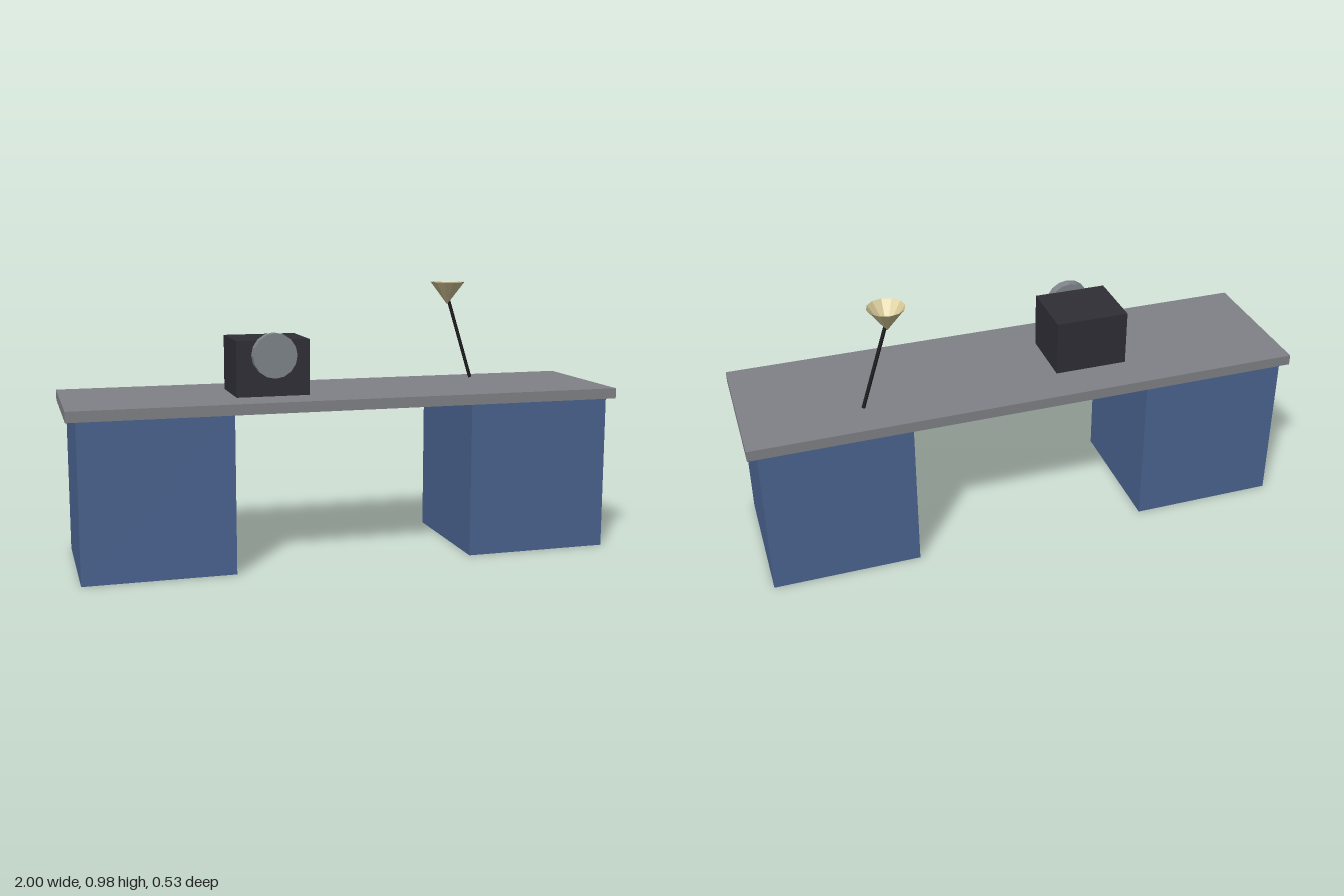
import * as THREE from 'three';

const mat = (name, color, extra = {}) => {
  const m = new THREE.MeshStandardMaterial({ color, flatShading: true, ...extra });
  m.name = name;
  return m;
};

export function createModel() {
  const blue = mat('cabinetBlue', 0x4a6491);
  const grey = mat('worktopGrey', 0x808287);
  const silver = mat('dialGrey', 0x80868c);
  const charcoal = mat('boxCharcoal', 0x2f2e36);
  const black = mat('poleBlack', 0x1c1a1e);
  const cream = mat('shadeCream', 0xd6c998, { side: THREE.DoubleSide });

  const desk = new THREE.Group();
  desk.name = 'desk';
  const add = (name, geometry, material, x, y, z) => {
    const mesh = new THREE.Mesh(geometry, material);
    mesh.name = name;
    mesh.position.set(x, y, z);
    desk.add(mesh);
    return mesh;
  };

  // Worktop on two cabinets
  add('worktop', new THREE.BoxGeometry(2, 0.038, 0.533), grey, 0, 0.581, 0);
  for (const [side, s] of [['left', 1], ['right', -1]]) {
    add(side + 'Cabinet', new THREE.BoxGeometry(0.533, 0.562, 0.506), blue, s * 0.7, 0.281, 0);
  }

  // Dark box with a round dial on its front
  add('deviceBox', new THREE.BoxGeometry(0.266, 0.2, 0.234), charcoal, -0.267, 0.7, 0);
  add('deviceDial', new THREE.CylinderGeometry(0.08, 0.08, 0.034, 16), silver, -0.267, 0.747, 0.133)
    .rotation.x = Math.PI / 2;

  // Leaning lamp pole with an open, upturned shade
  add('lampPole', new THREE.CylinderGeometry(0.0068, 0.0068, 0.313, 8), black, 0.533, 0.757, -0.133)
    .rotation.z = 0.3;
  add('lampShade', new THREE.ConeGeometry(0.066, 0.087, 12, 1, true), cream, 0.48, 0.937, -0.133)
    .rotation.x = Math.PI;

  return desk;
}
